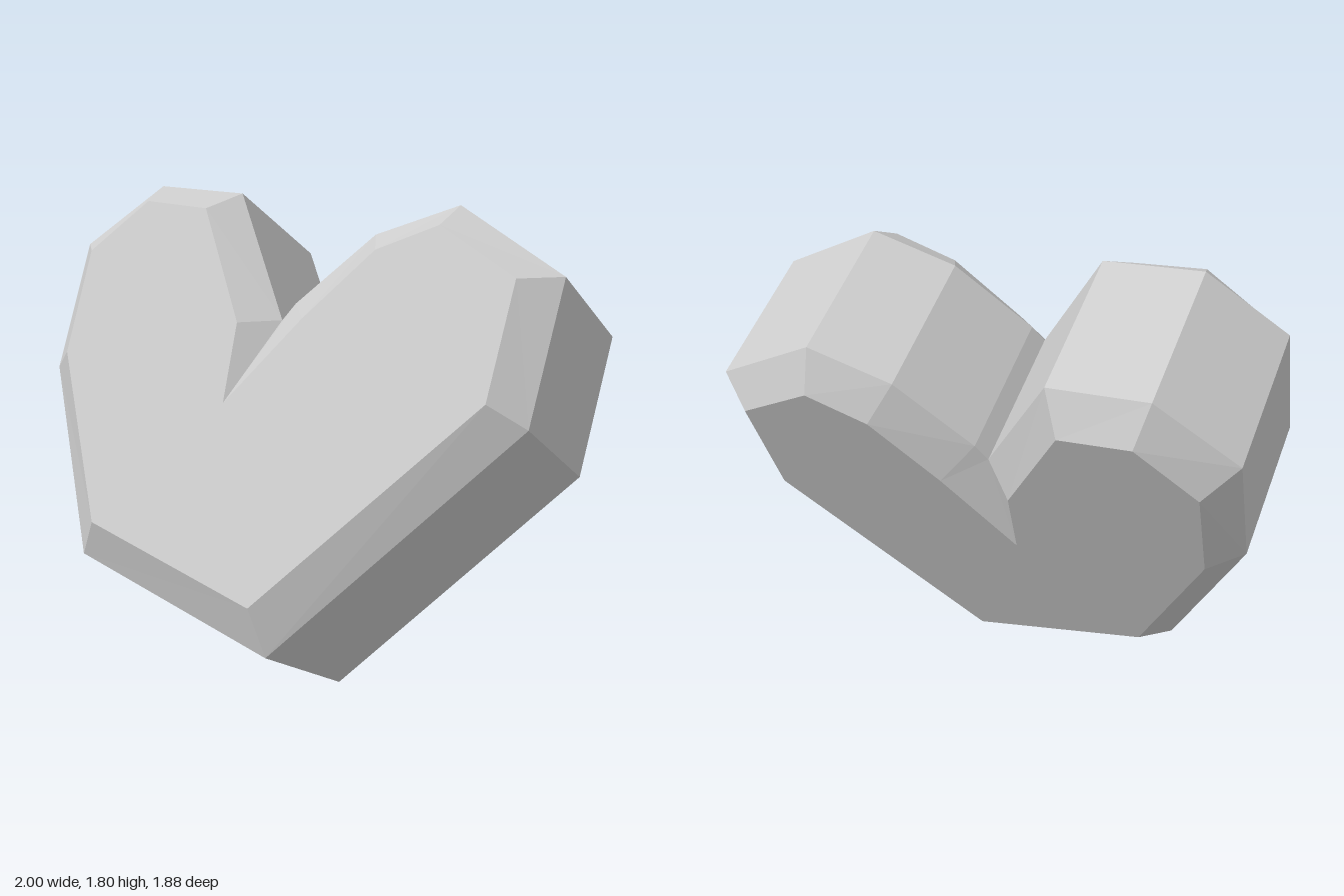
import * as THREE from 'three';

// Matching outlines of the tilted heart, [x, y], counter-clockwise from the front.
// The cap is the inset flat face, the rim is the wide outline behind its bevel.
const cap = [
  [-0.97, 1.19], [-0.91, 0.63], [-0.42, 0.45], [0.34, 1.15], [0.48, 1.54], [0.29, 1.70],
  [0.09, 1.61], [-0.16, 1.37], [-0.44, 1.07], [-0.37, 1.34], [-0.44, 1.73], [-0.64, 1.75], [-0.86, 1.56],
];
// The two equal rim points are the bottom of the cleft, where the bevels meet.
const rim = [
  [-1.00, 1.11], [-0.94, 0.485], [-0.36, 0.27], [0.485, 1.06], [0.66, 1.54], [0.40, 1.76],
  [0.13, 1.65], [-0.15, 1.40], [-0.20, 1.34], [-0.20, 1.34], [-0.29, 1.78], [-0.57, 1.80], [-0.86, 1.57],
];

// Heart planes are z = 0.845x - 0.67y + c; the heart is thick along their normal.
const normal = new THREE.Vector3(-0.845, 0.67, 1).normalize();
const ring = (outline, c, depth) => outline.map(([x, y]) =>
  new THREE.Vector3(x, y, 0.845 * x - 0.67 * y + c).addScaledVector(normal, -depth));

export function createModel() {
  const rings = [
    ring(cap, 1.415, 0),
    ring(rim, 1.243, 0),
    ring(rim, 1.243, 0.584),
    ring(cap, 1.415, 0.818),
  ];
  const n = cap.length;
  const positions = [];
  const triangle = (a, b, c) => {
    if (a.equals(b) || b.equals(c) || c.equals(a)) return;
    for (const p of [a, b, c]) positions.push(p.x, p.y, p.z);
  };

  // Front bevel, side walls and back bevel
  for (let r = 0; r < 3; r++) {
    const front = rings[r], back = rings[r + 1];
    for (let i = 0; i < n; i++) {
      const j = (i + 1) % n;
      triangle(back[i], back[j], front[j]);
      triangle(back[i], front[j], front[i]);
    }
  }

  // Flat front and back faces
  const flat = cap.map(([x, y]) => new THREE.Vector2(x, y));
  for (const [a, b, c] of THREE.ShapeUtils.triangulateShape(flat, [])) {
    triangle(rings[0][a], rings[0][b], rings[0][c]);
    triangle(rings[3][c], rings[3][b], rings[3][a]);
  }

  const geometry = new THREE.BufferGeometry();
  geometry.setAttribute('position', new THREE.Float32BufferAttribute(positions, 3));
  geometry.computeVertexNormals();

  const heart = new THREE.Mesh(geometry,
    new THREE.MeshStandardMaterial({ color: 0xcccccc, flatShading: true }));
  heart.name = 'heart';
  const group = new THREE.Group();
  group.name = 'bevelledHeart';
  group.add(heart);
  return group;
}
